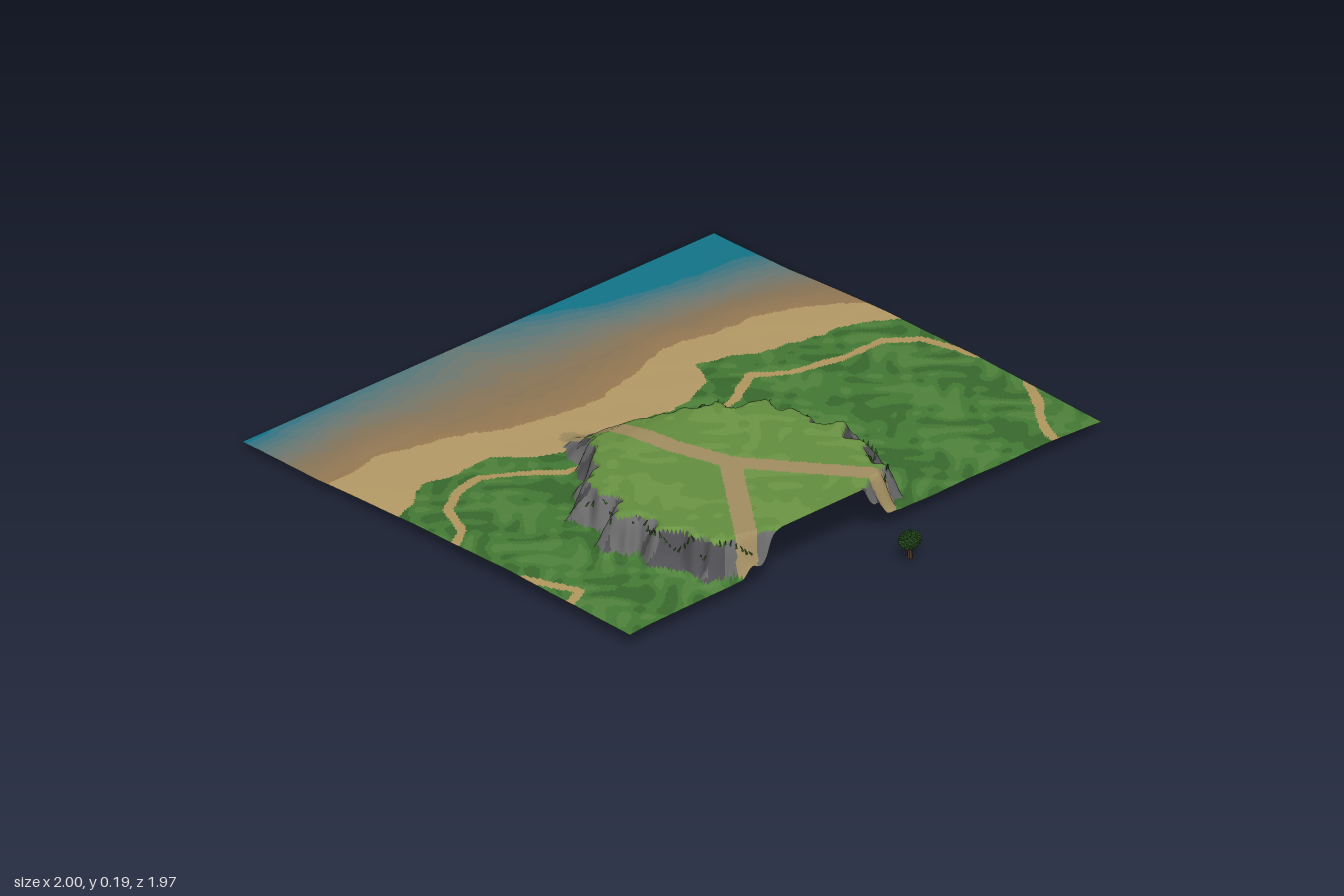
import * as THREE from 'three';
import { mergeGeometries } from 'three/addons/utils/BufferGeometryUtils.js';

const smooth = THREE.MathUtils.smoothstep;
const mat = (color, extra = {}) => new THREE.MeshStandardMaterial({ color, roughness: 1, ...extra });

// Piecewise-linear lookup in a list of [position, value]
function table(points, p) {
  if (p <= points[0][0]) return points[0][1];
  for (let i = 1; i < points.length; i++) {
    const [a, va] = points[i - 1], [b, vb] = points[i];
    if (p <= b) return va + (vb - va) * (p - a) / (b - a);
  }
  return points[points.length - 1][1];
}

// Distance from (x, z) to a polyline
function distance(line, x, z) {
  let best = Infinity;
  for (let i = 1; i < line.length; i++) {
    const [ax, az] = line[i - 1], dx = line[i][0] - ax, dz = line[i][1] - az;
    const t = Math.min(1, Math.max(0, ((x - ax) * dx + (z - az) * dz) / (dx * dx + dz * dz)));
    best = Math.min(best, Math.hypot(x - ax - t * dx, z - az - t * dz));
  }
  return best;
}

function inside(loop, x, z) {
  let hit = false;
  for (let i = 1; i < loop.length; i++) {
    const [ax, az] = loop[i - 1], [bx, bz] = loop[i];
    if ((az > z) !== (bz > z) && x < ax + (bx - ax) * (z - az) / (bz - az)) hit = !hit;
  }
  return hit;
}

// Soft repeatable variation, roughly -1..1
const noise = (x, z) => (Math.sin(7 * x + 3 * z + 1) + Math.sin(5 * z - 9 * x)
  + Math.sin(19 * x + 4 * Math.sin(8 * z)) + Math.sin(23 * z + 3 * Math.sin(11 * x))) / 4;

// Plan outline of the plateau, including the ramp at the back
const rim = [
  [-0.27, -0.29], [-0.23, -0.2], [-0.19, -0.1], [-0.12, -0.06], [-0.03, -0.03], [-0.01, 0.02], [0.06, 0.01],
  [0.08, 0.09], [0.19, 0.12], [0.17, 0.2], [0.23, 0.25], [0.19, 0.32], [0.27, 0.4], [0.2, 0.48],
  [0.23, 0.56], [0.16, 0.6], [0.17, 0.68], [0.1, 0.73], [0.03, 0.75], [-0.02, 0.82], [-0.2, 0.88],
  [-0.36, 0.82], [-0.41, 0.75], [-0.5, 0.73], [-0.59, 0.68], [-0.6, 0.58], [-0.65, 0.5], [-0.62, 0.42],
  [-0.7, 0.35], [-0.61, 0.28], [-0.63, 0.15], [-0.55, 0.09], [-0.45, 0.0], [-0.37, -0.1], [-0.33, -0.2], [-0.27, -0.29],
];

// Tracks: centre line and half width
const hillTracks = [
  [[-0.27, -0.29], [-0.27, 0], [-0.25, 0.15], [-0.19, 0.35], [0.12, 0.75]],
  [[-0.19, 0.35], [-0.5, 0.76]],
];
const lowTracks = [
  [[-1, -0.03], [-0.93, -0.07], [-0.87, -0.2], [-0.77, -0.27], [-0.65, -0.29], [-0.55, -0.22], [-0.44, -0.12], [-0.38, -0.1]],
  [[-0.2, -0.15], [-0.1, -0.1], [0.1, -0.08], [0.25, -0.1], [0.4, -0.19], [0.5, -0.11], [0.7, -0.07], [0.85, -0.07], [0.95, 0], [0.98, 0.1], [1, 0.2]],
  [[1, 0.42], [0.95, 0.52], [0.87, 0.62], [0.82, 0.7], [0.8, 0.77]],
  [[-1, 0.28], [-0.96, 0.38], [-0.93, 0.46], [-1, 0.49]],
];

// Shore lines as z over x
const grassEdge = [[-1, -0.28], [-0.9, -0.32], [-0.8, -0.39], [-0.65, -0.36], [-0.53, -0.37], [-0.45, -0.28], [-0.35, -0.22],
  [-0.15, -0.23], [0, -0.2], [0.15, -0.2], [0.28, -0.25], [0.34, -0.36], [0.45, -0.34], [0.55, -0.27], [0.8, -0.23], [1, -0.15]];
const sandEdge = [[-1, -0.6], [-0.75, -0.63], [-0.55, -0.58], [-0.4, -0.5], [-0.2, -0.43], [0, -0.42], [0.15, -0.46],
  [0.35, -0.53], [0.5, -0.5], [0.7, -0.48], [0.85, -0.42], [1, -0.3]];
const seaEdge = [[-1, -0.98], [-0.5, -1.05], [-0.1, -1.2], [0.2, -1], [0.5, -0.88], [0.75, -0.84], [1, -0.82]];

// Heights over z
const landHeight = [[-0.99, 0.012], [-0.65, 0.018], [-0.35, 0.04], [-0.2, 0.052], [0.2, 0.064], [0.76, 0.057]];
const hillHeight = [[-0.28, 0.05], [-0.2, 0.085], [-0.15, 0.125], [-0.08, 0.165], [0, 0.183], [0.06, 0.187]];

// How far up the cliff a point is: 0 on the low land, 1 on the plateau
function cliff(x, z) {
  const flutes = 0.007 * Math.sin(70 * x + 3 * Math.sin(30 * z)) + 0.007 * Math.sin(65 * z);
  const d = distance(rim, x, z) * (inside(rim, x, z) ? 1 : -1) + flutes;
  return smooth(d, -0.05, 0.028);
}

function height(x, z, c = cliff(x, z)) {
  const tilt = table([[-0.9, 0.012], [-0.3, 0.004]], z);
  const land = table(landHeight, z) - tilt * x
    + smooth(z, -0.6, 0) * (0.003 * noise(x, z) - 0.012 * x ** 8);
  return land + (Math.max(land, table(hillHeight, z)) - land) * c;
}

// Ground types; the shore fades from wet sand to sea in steps
const shoreSteps = 14;
const zones = {
  meadow: 0x447a35, darkMeadow: 0x396a2d, lightMeadow: 0x50833c, plateauGrass: 0x648f3f, lightPlateauGrass: 0x6c9644,
  rock: 0x6c6b6c, darkRock: 0x515054, track: 0xa38f62, footpath: 0xb3985f, beach: 0xb89d68,
};
const shoreFade = [[0x9c7d54, 0], [0x8a7659, 0.35], [0x6c7a74, 0.65], [0x14768a, 1]];
for (let i = 0; i < shoreSteps; i++) {
  const t = i / (shoreSteps - 1), k = shoreFade.findIndex(s => s[1] >= t) || 1;
  const [from, a] = shoreFade[k - 1], [to, b] = shoreFade[k];
  zones['shallows' + i] = new THREE.Color(from).lerp(new THREE.Color(to), (t - a) / (b - a));
}

function zoneAt(x, z) {
  const n = noise(x * 2.3, z * 2.3), wobble = 0.012 * noise(x * 3, z * 3);
  const c = cliff(x, z);
  const drop = table(hillHeight, z) - table(landHeight, z);
  if (c > 0.05 && hillTracks.some(line => distance(line, x, z) < 0.035)) return 'track';
  if (c > 0.1 && c < 0.93 && drop > 0.015) return n > 0.1 ? 'darkRock' : 'rock';
  if (c >= 0.93) return n > 0.15 ? 'lightPlateauGrass' : 'plateauGrass';
  const wet = table(sandEdge, x) + wobble;
  if (z < wet) {
    const t = (wet - z) / (wet - table(seaEdge, x)) + 0.03 * n;
    return 'shallows' + Math.round(Math.min(1, Math.max(0, t)) * (shoreSteps - 1));
  }
  if (z < table(grassEdge, x) + wobble) return 'beach';
  if (lowTracks.some(line => distance(line, x, z) < 0.016 + wobble / 2)) return 'footpath';
  return n > 0.25 ? 'lightMeadow' : n < -0.25 ? 'darkMeadow' : 'meadow';
}

// Open height-field sheet, split into one mesh for each ground type
function buildTerrain() {
  const terrain = new THREE.Group();
  terrain.name = 'terrain';
  const sheet = new THREE.PlaneGeometry(2, 1.75, 220, 192).rotateX(-Math.PI / 2).translate(0, 0, -0.115);
  const p = sheet.attributes.position, index = sheet.index.array, faces = {};
  for (let i = 0; i < p.count; i++) p.setY(i, Math.max(0, height(p.getX(i), p.getZ(i))));
  sheet.computeVertexNormals();
  for (let i = 0; i < index.length; i += 3) {
    const [a, b, c] = index.slice(i, i + 3);
    const zone = zoneAt((p.getX(a) + p.getX(b) + p.getX(c)) / 3, (p.getZ(a) + p.getZ(b) + p.getZ(c)) / 3);
    (faces[zone] ??= []).push(a, b, c);
  }
  for (const zone in faces) {
    const part = sheet.clone();
    part.setIndex(faces[zone]);
    const mesh = new THREE.Mesh(part.toNonIndexed(), mat(zones[zone], { side: THREE.DoubleSide }));
    mesh.name = zone;
    terrain.add(mesh);
  }
  return terrain;
}

// Small grass blades along the cliff edge
function buildRimGrass() {
  const blades = [];
  for (let i = 4; i < rim.length - 4; i++) for (let k = 0; k < 6; k++) {
    const t = k / 6, x = rim[i - 1][0] + (rim[i][0] - rim[i - 1][0]) * t, z = rim[i - 1][1] + (rim[i][1] - rim[i - 1][1]) * t;
    if (z > 0.74 || noise(x * 4, z * 4) < 0) continue;
    blades.push(new THREE.ConeGeometry(0.004, 0.022, 3).rotateZ(0.7 * Math.sin(i * 5 + k * 3))
      .rotateY(i + k * 2).translate(x, height(x, z) + 0.007, z));
  }
  const mesh = new THREE.Mesh(mergeGeometries(blades), mat(0x3c6a2b));
  mesh.name = 'rimGrass';
  return mesh;
}

// Small round bush-like tree standing in front of the sheet
function buildTree() {
  const tree = new THREE.Group();
  tree.name = 'tree';
  const add = (name, geometry, color) => {
    const mesh = new THREE.Mesh(geometry, mat(color, { flatShading: true }));
    mesh.name = name;
    tree.add(mesh);
  };
  const trunk = new THREE.CylinderGeometry(0.006, 0.01, 0.05, 7).translate(0, 0.04, 0);
  const branches = [0, 1, 2].map(i => new THREE.CylinderGeometry(0.003, 0.004, 0.03, 5)
    .translate(0, 0.015, 0).rotateZ(0.8).rotateY(i * 2.1).translate(0, 0.04, 0));
  add('trunk', mergeGeometries([trunk, ...branches]), 0x4a3724);
  add('crown', new THREE.IcosahedronGeometry(0.032, 1).scale(1.1, 0.75, 0.85).translate(0, 0.078, 0), 0x2c5523);
  // Leaves point outward, spread evenly over the crown
  const up = new THREE.Vector3(0, 1, 0), leaves = [[], []];
  for (let i = 0; i < 130; i++) {
    const y = 1 - 2 * (i + 0.5) / 130, r = Math.sqrt(1 - y * y), a = i * 2.4;
    const dir = new THREE.Vector3(r * Math.cos(a), y, r * Math.sin(a));
    leaves[i % 2].push(new THREE.ConeGeometry(0.006, 0.017, 4)
      .applyQuaternion(new THREE.Quaternion().setFromUnitVectors(up, dir))
      .translate(dir.x * 0.036, 0.078 + dir.y * 0.026, dir.z * 0.028));
  }
  add('darkLeaves', mergeGeometries(leaves[0]), 0x2f5f25);
  add('lightLeaves', mergeGeometries(leaves[1]), 0x427a31);
  tree.position.set(0.01, 0, 0.947);
  return tree;
}

export function createModel() {
  const model = new THREE.Group();
  model.name = 'coastalPlateau';
  model.add(buildTerrain(), buildRimGrass(), buildTree());
  return model;
}
